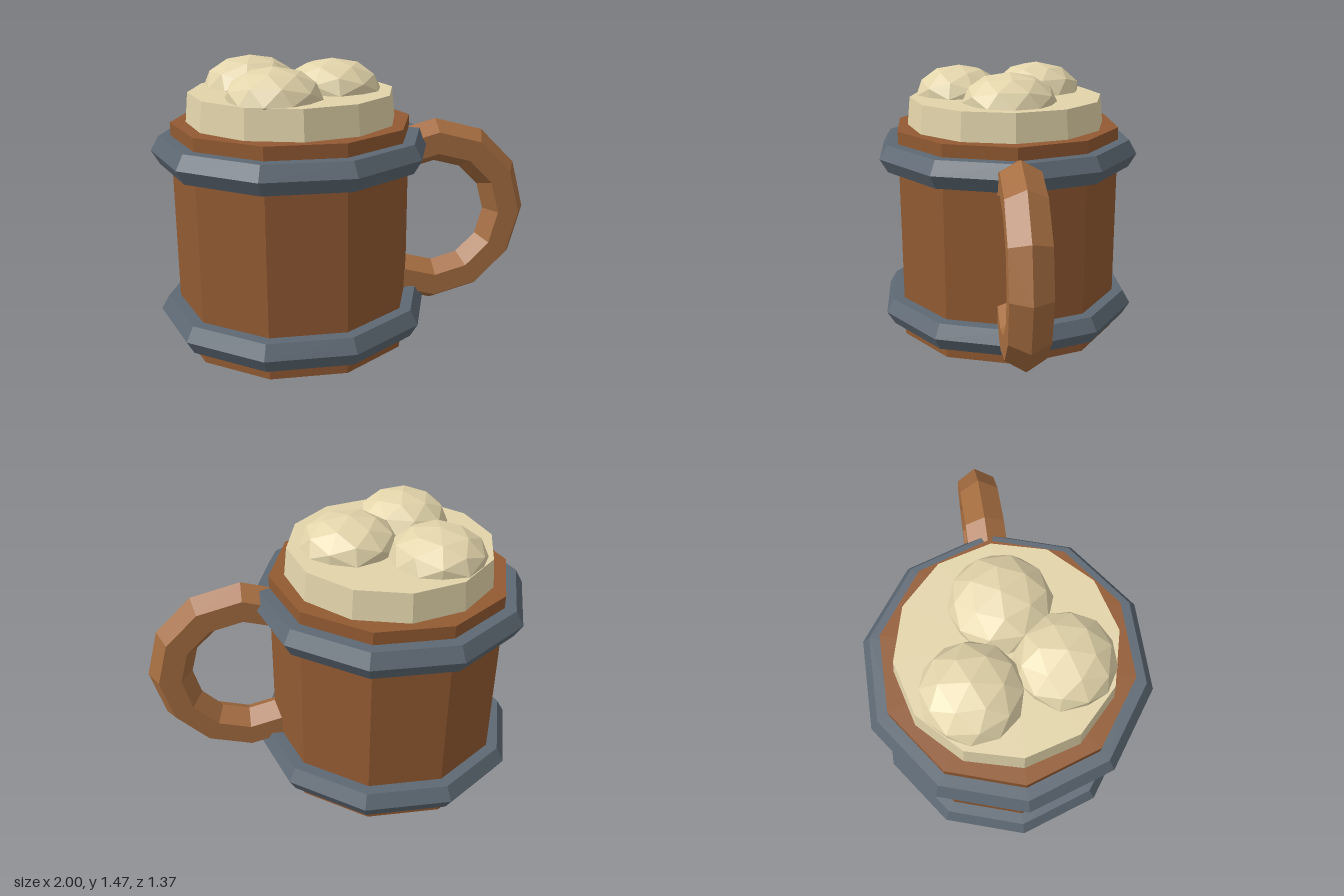
import * as THREE from 'three';

const material = (color) => new THREE.MeshStandardMaterial({ color, flatShading: true });

export function createModel() {
  const model = new THREE.Group();
  model.name = 'mug';
  const wood = material(0x925a32);
  const handleWood = material(0xa56d40);
  const iron = material(0x5d6873);
  const foam = material(0xe2d4aa);
  const cx = -0.28; // axis of the tankard

  const add = (name, geometry, mat, x, y, z = 0) => {
    const mesh = new THREE.Mesh(geometry, mat);
    mesh.name = name;
    mesh.position.set(x, y, z);
    model.add(mesh);
    return mesh;
  };

  // Ten-sided wooden body, with corners on the x axis
  const body = new THREE.CylinderGeometry(0.617, 0.617, 1.16, 10);
  body.rotateY(Math.PI / 10);
  add('body', body, wood, cx, 0.58);

  // Hexagonal-section iron hoops
  [['lowerHoop', 0.148], ['upperHoop', 1.02]].forEach(([name, y]) => {
    const hoop = new THREE.TorusGeometry(0.636, 0.084, 6, 10);
    hoop.rotateX(Math.PI / 2);
    add(name, hoop, iron, cx, y);
  });

  // Handle: an open ring whose ends sink into the body
  const arc = Math.PI * 4 / 3;
  const handle = new THREE.TorusGeometry(0.4, 0.115, 6, 8, arc);
  handle.rotateZ(-arc / 2);
  handleWood.side = THREE.DoubleSide;
  add('handle', handle, handleWood, 0.48, 0.62);

  // Foam collar
  add('foamCollar', new THREE.CylinderGeometry(0.523, 0.54, 0.17, 12), foam, cx, 1.225);

  // Flattened foam blobs: x, z, radius, turn
  [
    [-0.475, -0.19, 0.245, 0.4],
    [-0.39, 0.25, 0.24, 1.3],
    [-0.07, 0, 0.25, 0],
  ].forEach(([x, z, r, turn], i) => {
    const blob = new THREE.IcosahedronGeometry(r, 1);
    blob.rotateY(turn);
    blob.scale(1, 0.155 / r, 1);
    add(`foamBlob${i + 1}`, blob, foam, x, 1.31, z);
  });

  return model;
}
